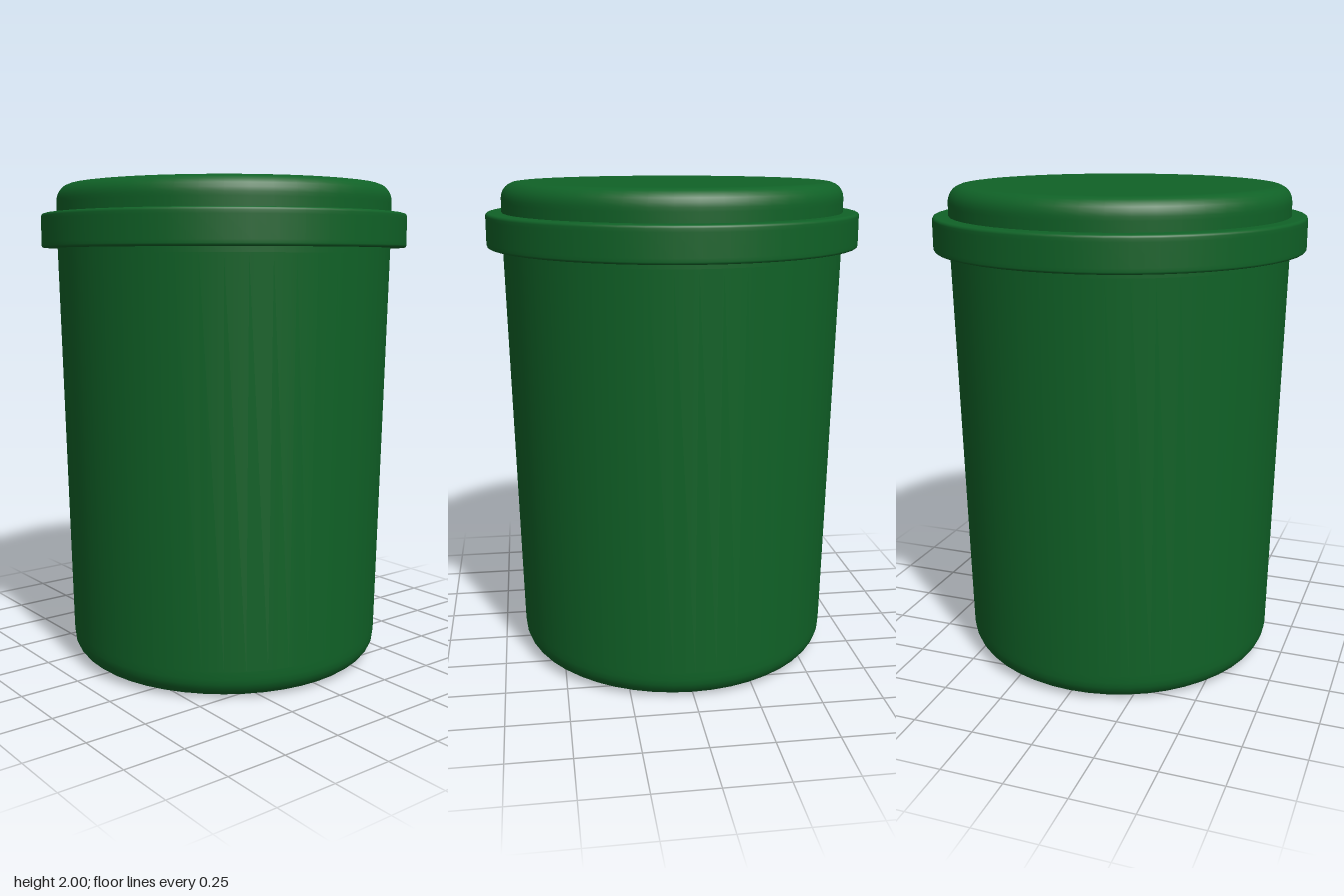
import * as THREE from 'three';

// Profile points for a rounded corner, with guard points that keep the neighbouring faces flat
function corner(cx, cy, r, from, to, steps = 6) {
  const points = [];
  for (let i = 0; i <= steps; i++) {
    const a = THREE.MathUtils.degToRad(from + ((to - from) * i) / steps);
    points.push([cx + r * Math.cos(a), cy + r * Math.sin(a)]);
  }
  return points;
}

export function createModel() {
  const green = new THREE.MeshStandardMaterial({ color: 0x106227 });
  green.name = 'green';
  const model = new THREE.Group();
  model.name = 'lidded bin';

  // Each part is turned from a profile that runs from bottom to top
  const turn = (name, profile) => {
    const points = profile.map(([x, y]) => new THREE.Vector2(Math.max(x, 0), y));
    const mesh = new THREE.Mesh(new THREE.LatheGeometry(points, 48), green);
    mesh.name = name;
    model.add(mesh);
  };

  // Tapered body with a rounded foot
  turn('body', [
    [0, 0], [0.54, 0],
    ...corner(0.57, 0.09, 0.09, -90, 0),
    [0.661, 0.12], [0.697, 1.72], [0.698, 1.76],
  ]);

  // Overhanging rim of the lid
  turn('lidRim', [
    [0.67, 1.742], [0.74, 1.742],
    ...corner(0.753, 1.752, 0.01, -90, 0, 3),
    [0.763, 1.765], [0.763, 1.855],
    ...corner(0.751, 1.868, 0.012, 0, 90, 3),
    [0.735, 1.88], [0.67, 1.88],
  ]);

  // Raised lid cap with a soft top edge
  turn('lidCap', [
    [0.698, 1.87], [0.698, 1.92],
    ...corner(0.633, 1.935, 0.065, 0, 90),
    [0.61, 2], [0, 2],
  ]);

  return model;
}
